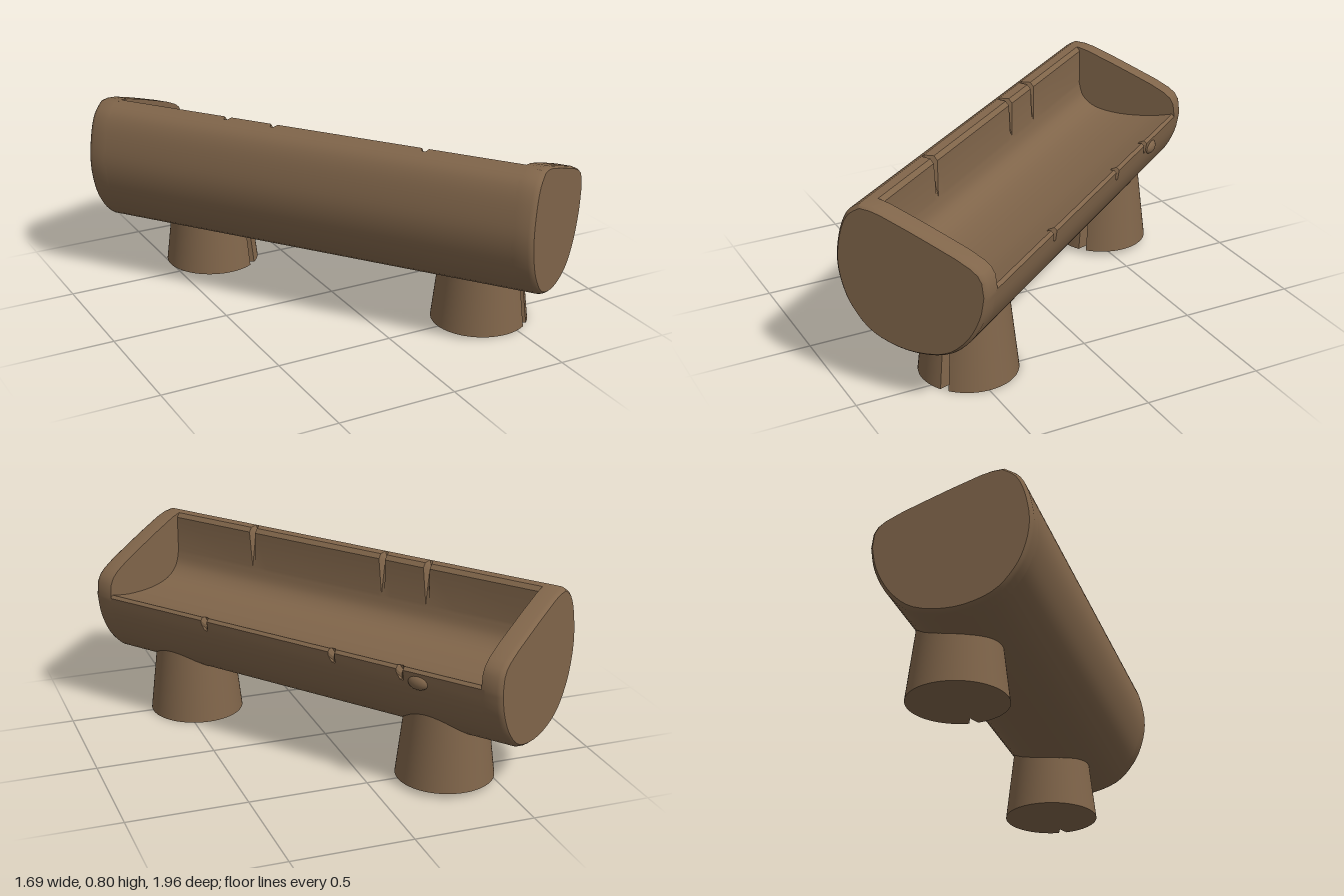
import * as THREE from 'three';
import { toCreasedNormals } from 'three/addons/utils/BufferGeometryUtils.js';

const V = (x, y) => new THREE.Vector2(x, y);
const points = (list) => list.map(([x, y]) => V(x, y));

// Lofts a counter-clockwise profile along z; each station is { z, warp(point) }.
function loft(profile, stations) {
  const n = profile.length;
  const pos = [], index = [];
  for (const { z, warp } of stations) {
    for (const p of profile) {
      const q = warp ? warp(p) : p;
      pos.push(q.x, q.y, z);
    }
  }
  for (let s = 0; s < stations.length - 1; s++) {
    for (let i = 0; i < n; i++) {
      const a = s * n + i, b = s * n + (i + 1) % n;
      index.push(a, b, b + n, a, b + n, a + n);
    }
  }
  const last = (stations.length - 1) * n;
  for (const [a, b, c] of THREE.ShapeUtils.triangulateShape(profile.slice(), [])) {
    index.push(a, c, b, last + a, last + b, last + c);
  }
  const geo = new THREE.BufferGeometry();
  geo.setAttribute('position', new THREE.Float32BufferAttribute(pos, 3));
  geo.setIndex(index);
  return toCreasedNormals(geo, 0.55);
}

export function createModel() {
  const model = new THREE.Group();
  model.name = 'logBench';
  const wood = new THREE.MeshStandardMaterial({ color: 0x80654a });
  wood.name = 'brown wood';

  // The bench lies diagonally: local z runs along the log, local x to the seat's open side
  const bench = new THREE.Group();
  bench.name = 'bench';
  bench.rotation.y = Math.atan2(0.6, 0.8);
  bench.position.set(-0.005, 0, 0.005);
  model.add(bench);

  const add = (name, geo) => {
    const mesh = new THREE.Mesh(geo, wood);
    mesh.name = name;
    bench.add(mesh);
    return mesh;
  };

  // Round bark outline from the backrest crest, under the log, to the seat lip
  const bark = new THREE.SplineCurve(points([
    [-0.21, 0.805], [-0.265, 0.765], [-0.3, 0.69], [-0.32, 0.57], [-0.305, 0.46], [-0.26, 0.36],
    [-0.17, 0.27], [-0.02, 0.228], [0.14, 0.25], [0.24, 0.33], [0.3, 0.44], [0.32, 0.54],
  ])).getPoints(44);

  // Hollowed seat with a backrest, chipped along its two edges
  const hollow = new THREE.SplineCurve(points([
    [0.308, 0.552], [0.2, 0.525], [0.05, 0.51], [-0.07, 0.522], [-0.135, 0.565], [-0.157, 0.63],
  ])).getPoints(20);
  const seatProfile = [...bark, ...hollow, ...points([[-0.157, 0.785], [-0.172, 0.803]])];
  const chipLip = (p) => (p.x > 0.29 && p.y > 0.52 ? V(p.x - 0.02, p.y - 0.025) : p);
  const chipCrest = (p) => (p.x > -0.2 && p.y > 0.75 ? V(p.x - 0.025, p.y - 0.02) : p);
  const stations = [{ z: -0.92 }, { z: 0.92 }];
  for (const [zs, warp] of [[[-0.55, -0.235, 0.4], chipLip], [[-0.39, -0.176, 0.49], chipCrest]]) {
    for (const z of zs) stations.push({ z: z - 0.015 }, { z, warp }, { z: z + 0.015 });
  }
  stations.sort((a, b) => a.z - b.z);
  add('seatAndBackrest', loft(seatProfile, stations));

  // Full-height end walls with softened outer rims
  const wallProfile = [...bark, ...points([
    [0.312, 0.6], [0.295, 0.628], [0.265, 0.65], [0.2, 0.68], [0.1, 0.717], [0, 0.753], [-0.12, 0.793], [-0.165, 0.803],
  ])];
  const shrink = (k) => (p) => V(p.x * k, 0.52 + (p.y - 0.52) * k);
  const rim = [[0.907, 1], [0.972, 1], [0.985, 0.985], [0.993, 0.96]];
  for (const side of [1, -1]) {
    const ring = rim.map(([z, k]) => ({ z: z * side, warp: shrink(k) }));
    if (side < 0) ring.reverse();
    add(side > 0 ? 'frontEndWall' : 'backEndWall', loft(wallProfile, ring));
  }

  // Tapered stump legs, each with a split facing along the log
  const legs = [
    ['frontLeg', 0.06, 0.005, 0.655],
    ['backLeg', 0.08, 0.025, -0.63],
  ];
  for (const [name, x, bottom, z] of legs) {
    const height = 0.42 - bottom;
    const geo = new THREE.CylinderGeometry(0.155, 0.203, height, 72, 1);
    const p = geo.attributes.position;
    for (let i = 0; i < p.count; i++) {
      if (p.getZ(i) > 0.05 && Math.abs(p.getX(i)) < 0.002) p.setZ(i, p.getZ(i) - 0.05);
    }
    add(name, toCreasedNormals(geo, 0.5)).position.set(x, bottom + height / 2, z);
  }

  // Small knot below the seat lip
  const knot = add('knot', new THREE.SphereGeometry(1, 16, 10));
  knot.scale.set(0.022, 0.03, 0.045);
  knot.position.set(0.31, 0.5, -0.63);

  return model;
}
